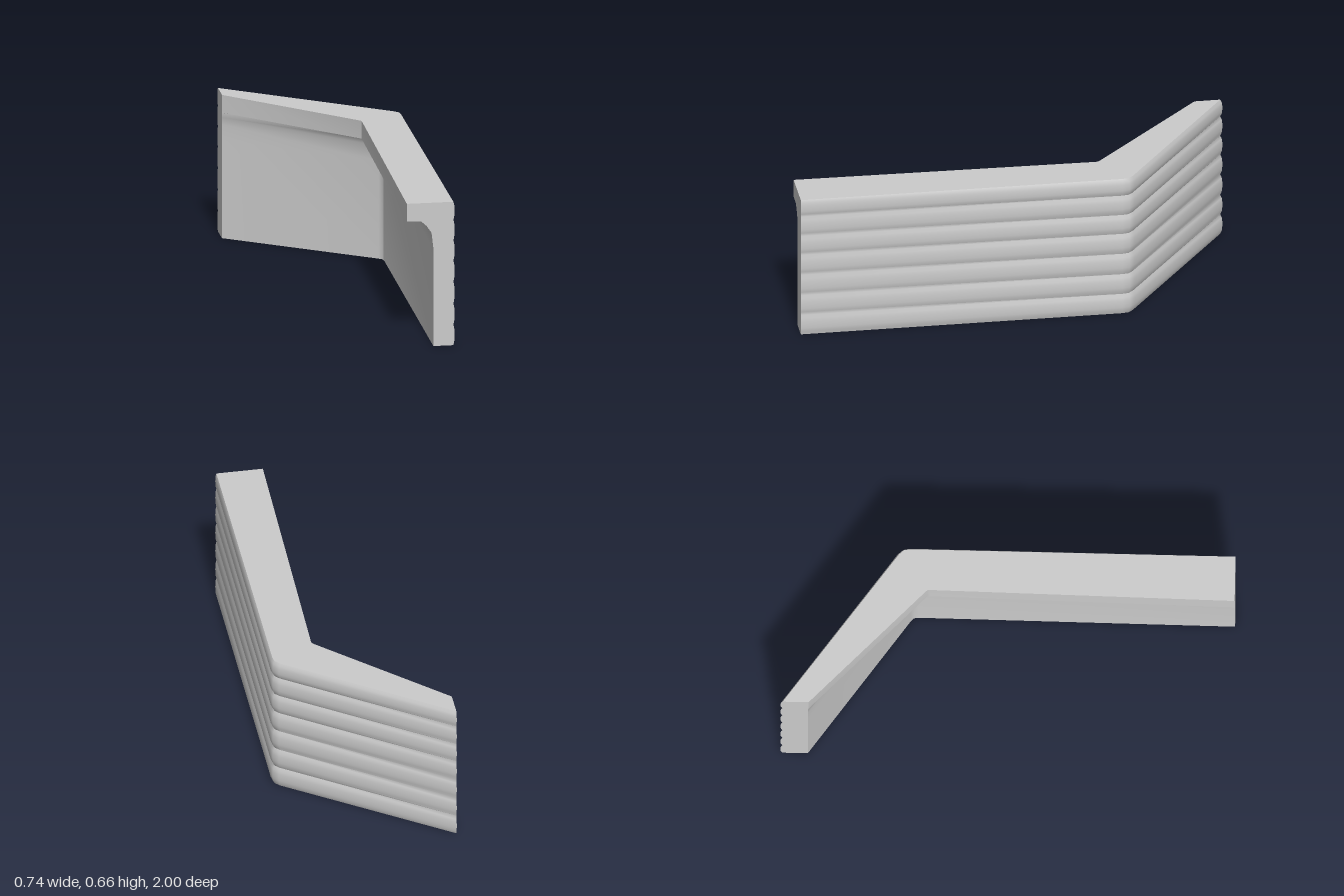
import * as THREE from 'three';
import { toCreasedNormals } from 'three/addons/utils/BufferGeometryUtils.js';

// Cross-section as [depth from outer face 0..1, height, rib bulge 0..1]
function makeSection() {
  const joints = [0, 0.095, 0.192, 0.292, 0.39, 0.483, 0.578, 0.66];
  const steps = 6;
  const points = [];
  for (let r = 0; r < joints.length - 1; r++) {
    for (let s = 0; s < steps; s++) {
      const t = s / steps;
      points.push([0, THREE.MathUtils.lerp(joints[r], joints[r + 1], t), Math.sqrt(Math.sin(Math.PI * t))]);
    }
  }
  // Top, overhanging ledge with curved bracket, and inner face
  points.push([0, 0.66, 0], [1, 0.66, 0], [1, 0.578, 0], [0.7, 0.577, 0],
    [0.58, 0.555, 0], [0.47, 0.522, 0], [0.43, 0.45, 0], [0.43, 0, 0]);
  return points;
}

// Stations along the bent wall: outer and inner [x, z], rib direction and
// size, and how far the ledge has merged into the wall
const stations = [
  { outer: [0.356, 1], inner: [0.147, 1], dir: [1, 0], rib: 0.005, merge: 0 },
  { outer: [0.36, -0.44], inner: [0.17, -0.35], dir: [1, 0], rib: 0.01, merge: 0 },
  { outer: [0.355, -0.468], inner: [0.169, -0.36], dir: [0.88, -0.48], rib: 0.01, merge: 0 },
  { outer: [0.335, -0.49], inner: [0.162, -0.368], dir: [0.58, -0.81], rib: 0.01, merge: 0.01 },
  { outer: [-0.37, -0.99], inner: [-0.37, -0.875], dir: [0, -1], rib: 0.01, merge: 0.95 },
];

function makeWallGeometry() {
  const section = makeSection();
  const n = section.length;
  const positions = [];
  const index = [];
  const outlines = stations.map(({ outer, inner, dir, rib, merge }) =>
    section.map(([depth, y, bulge]) => {
      const d = depth > 0 ? depth + (1 - depth) * merge : 0;
      const b = bulge * rib;
      positions.push(
        THREE.MathUtils.lerp(outer[0], inner[0], d) + dir[0] * b, y,
        THREE.MathUtils.lerp(outer[1], inner[1], d) + dir[1] * b);
      return new THREE.Vector2(-d * 0.2 + b, y);
    }));

  // Skin between neighbouring stations
  for (let i = 0; i < stations.length - 1; i++) {
    for (let j = 0; j < n; j++) {
      const k = (j + 1) % n;
      const a = i * n + j, b = i * n + k;
      index.push(a, a + n, b, b, a + n, b + n);
    }
  }
  // Flat ends
  const last = (stations.length - 1) * n;
  for (const [a, b, c] of THREE.ShapeUtils.triangulateShape(outlines[0], [])) index.push(a, b, c);
  for (const [a, b, c] of THREE.ShapeUtils.triangulateShape(outlines[stations.length - 1], [])) {
    index.push(last + a, last + c, last + b);
  }

  const geometry = new THREE.BufferGeometry();
  geometry.setAttribute('position', new THREE.Float32BufferAttribute(positions, 3));
  geometry.setIndex(index);
  return toCreasedNormals(geometry, 0.75);
}

export function createModel() {
  const group = new THREE.Group();
  group.name = 'bentRibbedWall';
  const wall = new THREE.Mesh(makeWallGeometry(), new THREE.MeshStandardMaterial({ color: 0xcccccc }));
  wall.name = 'ribbedWallWithLedge';
  group.add(wall);
  return group;
}
